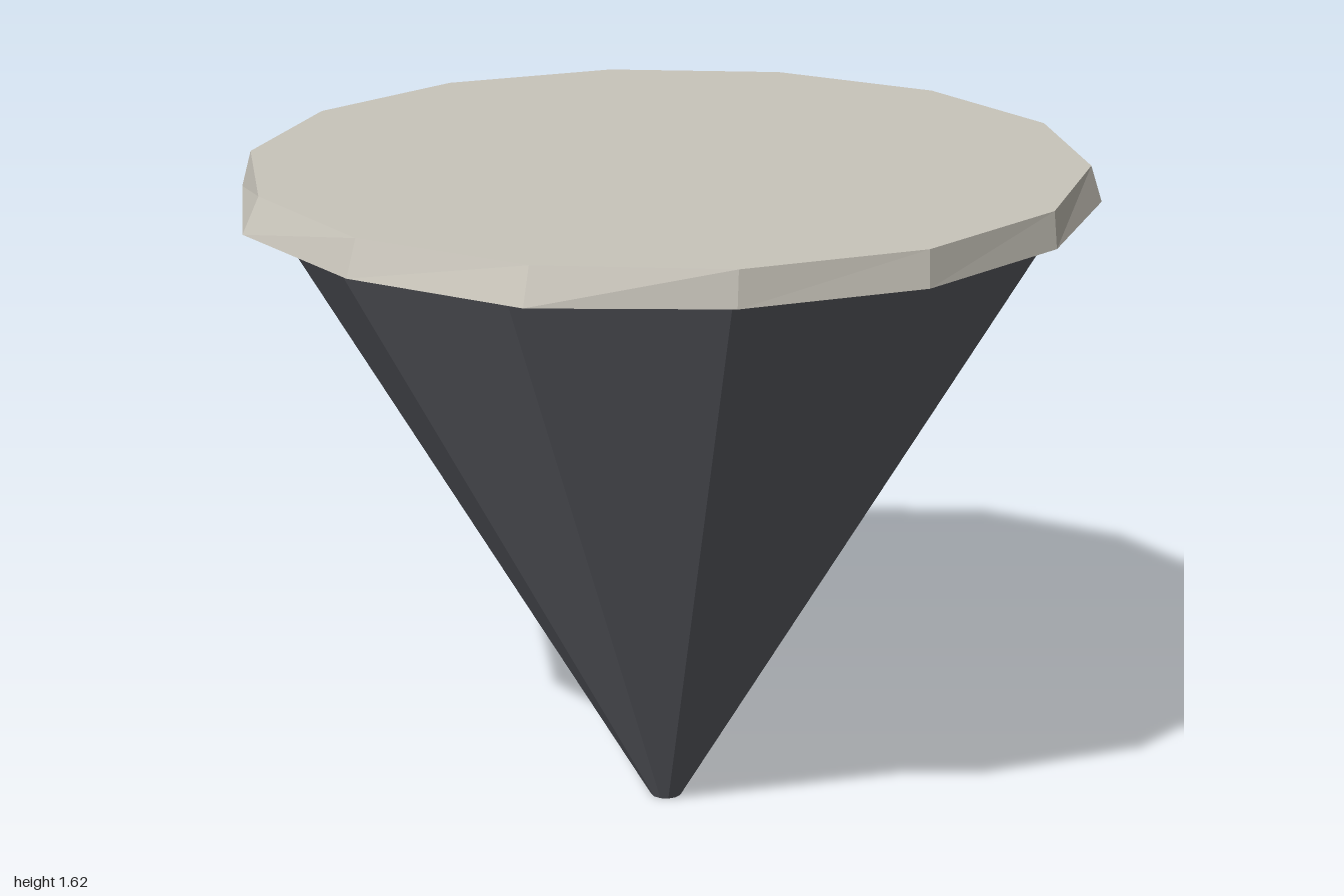
import * as THREE from 'three';

// Closed, flat-shaded solid between two horizontal rings of equal point count
function ringSolid(lower, upper, y0, y1) {
  const pos = [];
  const n = lower.length;
  const put = (p, y) => pos.push(p[0], y, p[1]);
  for (let i = 0; i < n; i++) {
    const j = (i + 1) % n;
    put(lower[i], y0); put(lower[j], y0); put(upper[j], y1);
    put(lower[i], y0); put(upper[j], y1); put(upper[i], y1);
    put([0, 0], y1); put(upper[i], y1); put(upper[j], y1);
    put([0, 0], y0); put(lower[j], y0); put(lower[i], y0);
  }
  const geometry = new THREE.BufferGeometry();
  geometry.setAttribute('position', new THREE.Float32BufferAttribute(pos, 3));
  geometry.computeVertexNormals();
  return geometry;
}

// Points around the y axis, starting at the front and turning towards +x
const ring = (radii, dx = 0) => radii.map((r, i) => {
  const a = (i / radii.length) * Math.PI * 2;
  return [Math.sin(a) * r + dx, Math.cos(a) * r];
});

export function createModel() {
  const model = new THREE.Group();
  model.name = 'invertedCone';

  const darkGrey = new THREE.MeshStandardMaterial({ color: 0x606269 });
  darkGrey.name = 'dark grey';
  darkGrey.flatShading = true;
  const paleStone = new THREE.MeshStandardMaterial({ color: 0xc9c5bb });
  paleStone.name = 'pale stone';
  paleStone.flatShading = true;

  // Twelve-sided cone with a blunt tip
  const cone = new THREE.Mesh(new THREE.CylinderGeometry(0.935, 0.038, 1.53, 12), darkGrey);
  cone.name = 'coneBody';
  cone.position.y = 0.765;
  model.add(cone);

  // Fourteen-sided lid, slightly uneven along its wider lower edge
  const lowerRadii = [0.99, 0.993, 0.997, 1.015, 1.015, 1.01, 1.02,
    1.0, 1.027, 1.02, 1.005, 1.022, 1.01, 1.016];
  const upperRadii = new Array(14).fill(0.985);
  const lid = new THREE.Mesh(
    ringSolid(ring(lowerRadii), ring(upperRadii, 0.003), 1.53, 1.615), paleStone);
  lid.name = 'lid';
  model.add(lid);

  return model;
}
